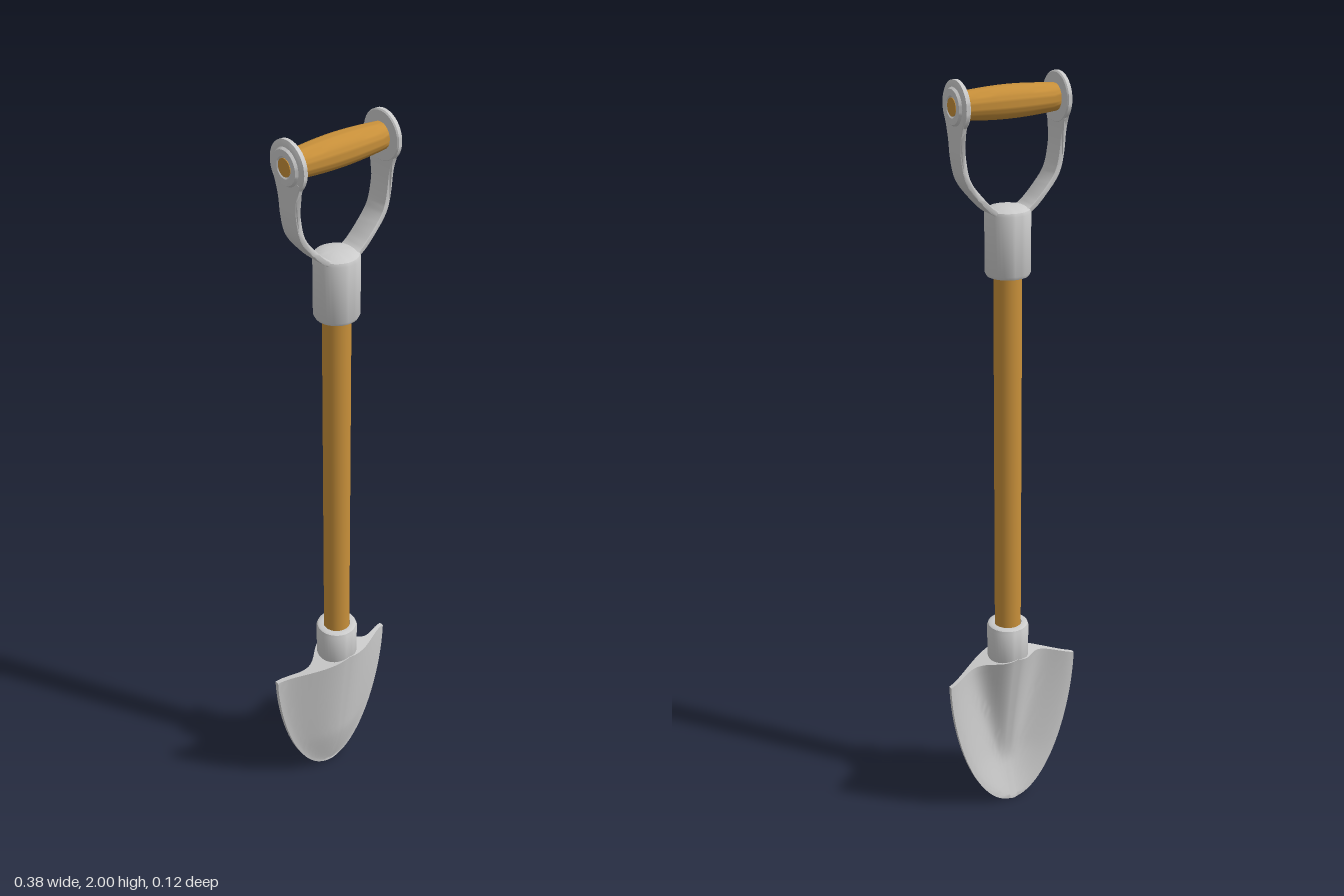
import * as THREE from 'three';
import { toCreasedNormals } from 'three/addons/utils/BufferGeometryUtils.js';

const metal = new THREE.MeshStandardMaterial({ color: 0xcccccc });
const wood = new THREE.MeshStandardMaterial({ color: 0xc8903a });

function add(parent, name, geometry, material) {
  const mesh = new THREE.Mesh(geometry, material);
  mesh.name = name;
  parent.add(mesh);
  return mesh;
}

// Turned part with crisp edges; points are [radius, height], bottom to top
function turned(points, sides = 40) {
  const profile = points.map(([r, y]) => new THREE.Vector2(r, y));
  return toCreasedNormals(new THREE.LatheGeometry(profile, sides), 0.6);
}

// Dished blade: convex front, hollow back with a ridge running down from the socket
function bladeGeometry() {
  const cols = 40, rows = 30, n = 2 * cols + 2;
  const pos = [], idx = [];
  for (let r = 0; r <= rows; r++) {
    const s = Math.sin((r / rows) * Math.PI / 2); // 0 at shoulders, 1 at tip
    const width = 0.19 * Math.sqrt(Math.max(0, 1 - s ** 1.7));
    const tipDrop = 0.026 * Math.max(0, (s - 0.65) / 0.35) ** 1.5;
    const crown = 0.057 - 0.056 * s - tipDrop;
    const rim = -0.022;
    for (let i = 0; i < n; i++) {
      const back = i > cols;
      const u = ((back ? n - 1 - i : i) / cols) * 2 - 1;
      const x = u * width;
      const y = 0.425 * (1 - s) + 0.045 * (1 - Math.abs(u)) * (1 - s);
      let z = rim + (crown - rim) * Math.max(0, Math.cos(u * Math.PI / 2)) ** 1.4;
      if (back) {
        z -= 0.012 + 0.005 * (1 - u * u) * (1 - s);
        const fade = Math.max(0, 1 - s / 0.75);
        const spread = 0.022 + 0.053 * fade;
        const ridge = 0.097 * fade ** 1.1;
        z -= ridge * Math.exp(-(Math.abs(x / spread) ** 2.5));
      }
      pos.push(x, y, z);
    }
  }
  for (let r = 0; r < rows; r++) {
    for (let i = 0; i < n; i++) {
      const a = r * n + i, b = r * n + (i + 1) % n;
      idx.push(a, a + n, b, b, a + n, b + n);
    }
  }
  // top edge
  for (let i = 0; i < cols; i++) {
    const b0 = n - 1 - i;
    idx.push(i, i + 1, b0 - 1, i, b0 - 1, b0);
  }
  const geo = new THREE.BufferGeometry();
  geo.setAttribute('position', new THREE.Float32BufferAttribute(pos, 3));
  geo.setIndex(idx);
  return toCreasedNormals(geo, 0.7);
}

// Flat strap curving from the collar up to the grip plate, wider at the plate
function strapGeometry() {
  const curve = new THREE.CatmullRomCurve3([
    [0.03, 1.682], [0.05, 1.692], [0.085, 1.726], [0.118, 1.77], [0.13, 1.82], [0.133, 1.87], [0.133, 1.91],
  ].map(([x, y]) => new THREE.Vector3(x, y, 0)));
  const inner = [], outer = [], half = 0.005;
  for (let i = 0; i <= 28; i++) {
    const p = curve.getPointAt(i / 28), t = curve.getTangentAt(i / 28);
    outer.push(new THREE.Vector2(p.x + t.y * half, p.y - t.x * half));
    inner.unshift(new THREE.Vector2(p.x - t.y * half, p.y + t.x * half));
  }
  const geo = new THREE.ExtrudeGeometry(new THREE.Shape([...outer, ...inner]), {
    depth: 0.054, bevelThickness: 0.003, bevelSize: 0.002, bevelSegments: 2,
  });
  geo.translate(0, 0, -0.027);
  const p = geo.attributes.position;
  for (let i = 0; i < p.count; i++) {
    const flare = Math.max(0, (p.getY(i) - 1.84) / 0.07);
    p.setZ(i, p.getZ(i) * (1 + 0.6 * flare * flare));
  }
  return toCreasedNormals(geo, 0.6);
}

export function createModel() {
  const model = new THREE.Group();
  model.name = 'shovel';

  // Blade and socket
  add(model, 'blade', bladeGeometry(), metal);
  add(model, 'socket', turned([
    [0, 0.445], [0.05, 0.445], [0.055, 0.46], [0.056, 0.55], [0.053, 0.558],
    [0.048, 0.561], [0.037, 0.561], [0.034, 0.55],
  ]), metal);

  // Shaft
  const shaft = add(model, 'shaft', new THREE.CylinderGeometry(0.035, 0.035, 1.13, 32), wood);
  shaft.position.y = 1.065;

  // Collar holding the fork
  add(model, 'collar', turned([
    [0.034, 1.545], [0.042, 1.535], [0.046, 1.528], [0.052, 1.529], [0.056, 1.537],
    [0.056, 1.682], [0.053, 1.69], [0.045, 1.694], [0.025, 1.698], [0, 1.7],
  ]), metal);

  // Fork arms, mirrored by a half turn
  const strap = strapGeometry();
  const plate = turned([
    [0, 0.125], [0.057, 0.125], [0.06, 0.128], [0.06, 0.137], [0.057, 0.139],
    [0.044, 0.14], [0.04, 0.146], [0.025, 0.146], [0.022, 0.143], [0, 0.143],
  ]);
  for (const side of ['left', 'right']) {
    const arm = new THREE.Group();
    arm.name = side + 'ForkArm';
    arm.rotation.y = side === 'left' ? 0 : Math.PI;
    add(arm, 'strap', strap, metal);
    const disc = add(arm, 'gripPlate', plate, metal);
    disc.rotation.z = -Math.PI / 2;
    disc.position.y = 1.94;
    const pin = add(arm, 'gripPin', new THREE.CylinderGeometry(0.021, 0.021, 0.01, 24), wood);
    pin.rotation.z = -Math.PI / 2;
    pin.position.set(0.14, 1.94, 0);
    model.add(arm);
  }

  // Barrel-shaped grip
  const profile = [];
  for (let i = 0; i <= 12; i++) {
    const t = i / 6 - 1;
    profile.push([0.032 + 0.007 * Math.cos(t * Math.PI / 2), t * 0.128]);
  }
  const grip = add(model, 'grip', turned(profile), wood);
  grip.rotation.z = -Math.PI / 2;
  grip.position.y = 1.94;

  return model;
}
